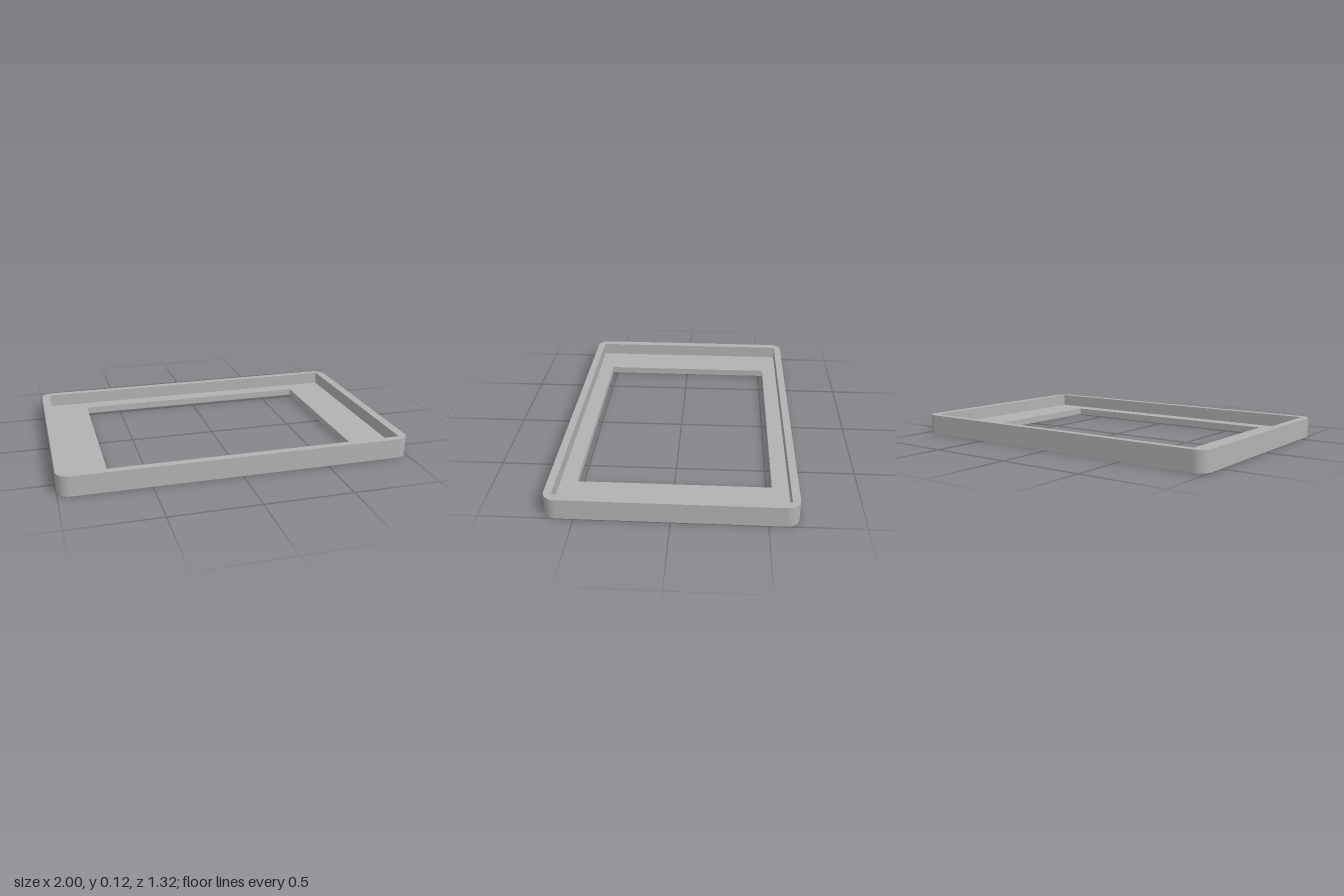
import * as THREE from 'three';

const ARC_STEPS = 10; // segments in each rounded corner

// Rounded-rectangle loops of the frame: half width, half depth, corner radius, height
const LOOPS = [
  { w: 1, d: 0.66, r: 0.07, y: 0 },          // outer bottom edge
  { w: 1, d: 0.66, r: 0.07, y: 0.115 },      // outer top edge
  { w: 0.95, d: 0.617, r: 0, y: 0.115 },     // inner rim edge
  { w: 0.95, d: 0.617, r: 0, y: 0.04 },      // recess floor, outer edge
  { w: 0.717, d: 0.527, r: 0, y: 0.04 },     // window, upper edge
  { w: 0.717, d: 0.527, r: 0, y: 0 },        // window, lower edge
];

// Points of one loop, each with its outward direction
function loopPoints({ w, d, r, y }) {
  const points = [];
  const signs = [[1, 1], [-1, 1], [-1, -1], [1, -1]];
  signs.forEach(([sx, sz], corner) => {
    for (let k = 0; k <= ARC_STEPS; k++) {
      const a = (corner + k / ARC_STEPS) * Math.PI / 2;
      const c = Math.cos(a), s = Math.sin(a);
      points.push({ x: sx * (w - r) + r * c, y, z: sz * (d - r) + r * s, c, s });
    }
  });
  return points;
}

// Join successive loops with strips: smooth round corners, sharp edges between strips
function frameGeometry() {
  const position = [], normal = [];
  LOOPS.forEach((from, i) => {
    const to = LOOPS[(i + 1) % LOOPS.length];
    const A = loopPoints(from), B = loopPoints(to);
    const out = Math.sign(to.y - from.y);
    const up = out === 0 ? Math.sign(from.w - to.w) : 0;
    const add = (p) => {
      position.push(p.x, p.y, p.z);
      normal.push(out * p.c, up, out * p.s);
    };
    for (let j = 0; j < A.length; j++) {
      const inCorner = j % (ARC_STEPS + 1) !== ARC_STEPS;
      if (inCorner && from.r === 0 && to.r === 0) continue; // square corner
      const n = (j + 1) % A.length;
      if (!inCorner || to.r > 0) [A[j], B[j], B[n]].forEach(add);
      if (!inCorner || from.r > 0) [A[j], B[n], A[n]].forEach(add);
    }
  });
  const geometry = new THREE.BufferGeometry();
  geometry.setAttribute('position', new THREE.Float32BufferAttribute(position, 3));
  geometry.setAttribute('normal', new THREE.Float32BufferAttribute(normal, 3));
  return geometry;
}

export function createModel() {
  const grey = new THREE.MeshStandardMaterial({ color: 0xb2b2b2 });
  grey.name = 'grey';

  // Shallow tray-like bezel with a rectangular window
  const bezel = new THREE.Mesh(frameGeometry(), grey);
  bezel.name = 'bezelFrame';

  const model = new THREE.Group();
  model.name = 'displayBezel';
  model.add(bezel);
  return model;
}
